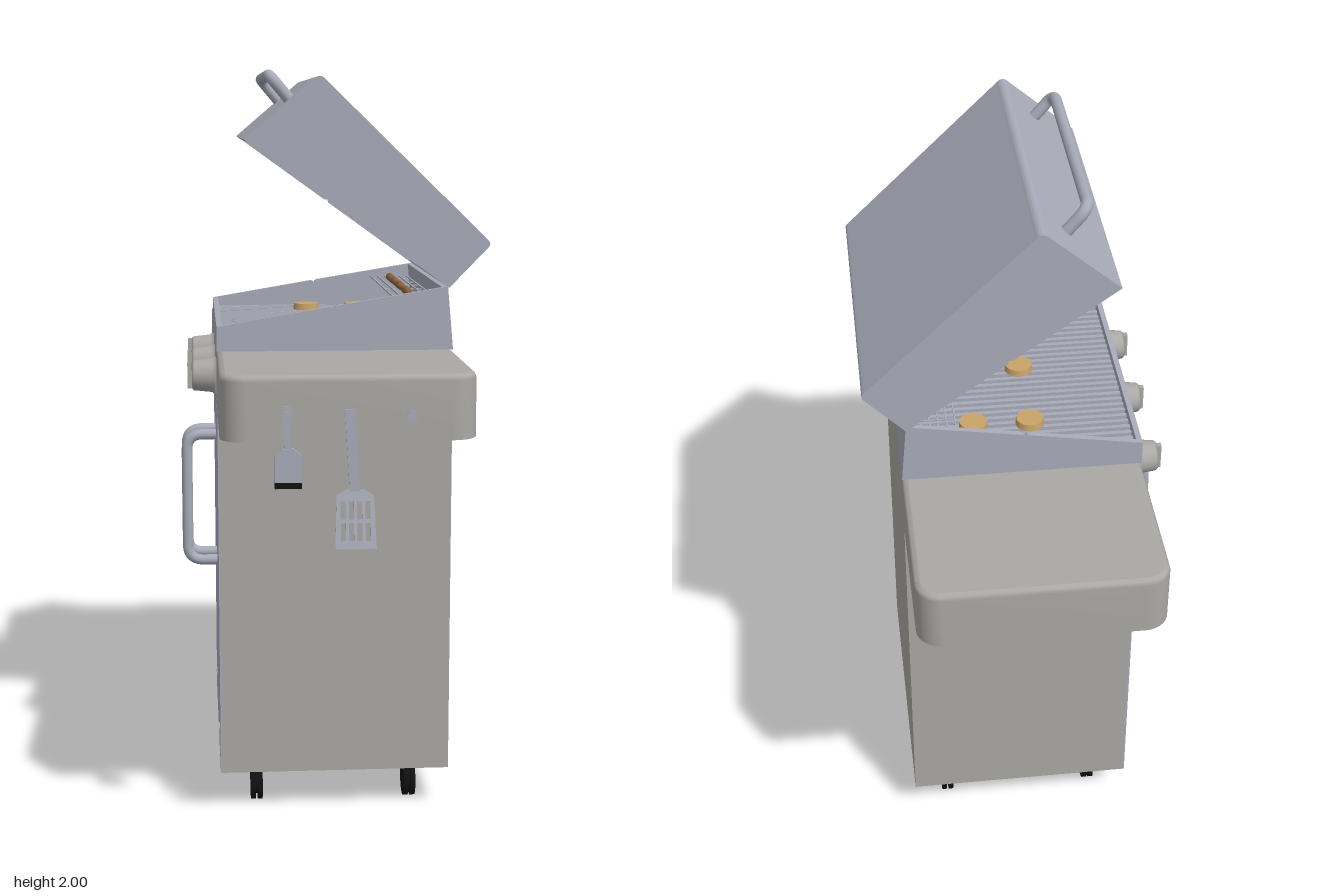
import * as THREE from 'three';

const mat = (color) => new THREE.MeshStandardMaterial({ color, side: THREE.DoubleSide });
const BODY = mat(0xaaa8a4), STEEL = mat(0xa8abb8), BLACK = mat(0x111111);
const MEAT = mat(0xc8a468), BROWN = mat(0x8a6038);
const MID_Z = -0.02, Z0 = -0.42, Z1 = 0.375, X0 = -0.31, X1 = 0.315;

function add(parent, name, geometry, material, x = 0, y = 0, z = 0) {
  const m = new THREE.Mesh(geometry, material);
  m.name = name;
  m.position.set(x, y, z);
  parent.add(m);
  return m;
}

// Box given by its minimum and maximum corners
function block(parent, name, material, a, b) {
  const s = a.map((v, i) => b[i] - v), c = a.map((v, i) => (v + b[i]) / 2);
  return add(parent, name, new THREE.BoxGeometry(...s), material, ...c);
}

// Outline in x and y, extruded from z0 to z1
function panel(parent, name, material, shape, z0, z1) {
  const s = Array.isArray(shape) ? new THREE.Shape(shape.map((p) => new THREE.Vector2(...p))) : shape;
  const g = new THREE.ExtrudeGeometry(s, { depth: z1 - z0, bevelEnabled: false, curveSegments: 6 });
  return add(parent, name, g, material, 0, 0, z0);
}

// Bar with two rounded bends, standing off its mounting points by "off"
function handle(parent, name, a, b, off, r, bend) {
  const A = new THREE.Vector3(...a), B = new THREE.Vector3(...b), O = new THREE.Vector3(...off);
  const A2 = A.clone().add(O), B2 = B.clone().add(O);
  const d = B.clone().sub(A).setLength(bend), o = O.clone().setLength(bend);
  const a1 = A2.clone().sub(o), a3 = A2.clone().add(d), b1 = B2.clone().sub(d), b3 = B2.clone().sub(o);
  const path = new THREE.CurvePath();
  path.add(new THREE.LineCurve3(A, a1));
  path.add(new THREE.QuadraticBezierCurve3(a1, A2, a3));
  path.add(new THREE.LineCurve3(a3, b1));
  path.add(new THREE.QuadraticBezierCurve3(b1, B2, b3));
  path.add(new THREE.LineCurve3(b3, B));
  add(parent, name, new THREE.TubeGeometry(path, 80, r, 12), STEEL);
}

// Rounded rectangle of the table top, shrunk by an inset
function tableOutline(inset) {
  const w = 0.3125 - inset, l = 0.86 - inset, r = 0.065 - inset;
  const s = new THREE.Shape();
  s.absarc(w - r, l - r, r, 0, Math.PI / 2);
  s.absarc(-w + r, l - r, r, Math.PI / 2, Math.PI);
  s.absarc(-w + r, -l + r, r, Math.PI, Math.PI * 1.5);
  s.absarc(w - r, -l + r, r, Math.PI * 1.5, Math.PI * 2);
  s.closePath();
  return s;
}

// Table shell: inner wall, rim, outer wall and softened upper edge
function tableTop(parent) {
  const sections = [[0.015, 1.255], [0.015, 1.11], [0, 1.11], [0, 1.11], [0, 1.255], [0.004, 1.266], [0.015, 1.27]];
  const rings = sections.map(([inset]) => tableOutline(inset).getPoints(10));
  const n = rings[0].length, pos = [], idx = [];
  rings.forEach((ring, k) => ring.forEach((p) => pos.push(p.x, sections[k][1], -p.y)));
  for (let k = 0; k < rings.length - 1; k++) {
    for (let i = 0; i < n - 1; i++) {
      const a = k * n + i, b = a + n;
      idx.push(a, a + 1, b, a + 1, b + 1, b);
    }
  }
  const g = new THREE.BufferGeometry();
  g.setAttribute('position', new THREE.Float32BufferAttribute(pos, 3));
  g.setIndex(idx);
  g.computeVertexNormals();
  add(parent, 'tableShell', g, BODY, 0.0025, 0, MID_Z);
  for (const y of [1.255, 1.27]) {
    const cap = new THREE.ShapeGeometry(tableOutline(0.015), 10).rotateX(-Math.PI / 2);
    add(parent, 'tableSurface', cap, BODY, 0.0025, y, MID_Z);
  }
}

function firebox(parent) {
  const side = [[X0, 1.27], [X1, 1.27], [0.3, 1.437], [0.003, 1.388], [-0.003, 1.38], [-0.01, 1.386], [X0, 1.335]];
  panel(parent, 'fireboxSide', STEEL, side, Z0, Z0 + 0.015);
  panel(parent, 'fireboxSide', STEEL, side, Z1 - 0.015, Z1);
  panel(parent, 'fireboxFront', STEEL, [[X0, 1.27], [X0 + 0.015, 1.27], [X0 + 0.015, 1.337], [X0, 1.335]], Z0 + 0.015, Z1 - 0.015);
  panel(parent, 'fireboxBack', STEEL, [[0.3, 1.27], [X1, 1.27], [0.3, 1.437], [0.285, 1.435]], Z0 + 0.015, Z1 - 0.015);
  // Cooking grate
  for (let i = 0; i < 30; i++) {
    const z = Z0 + 0.032 + i * 0.0252;
    block(parent, 'grateBar', STEEL, [X0 + 0.015, 1.303, z - 0.006], [0.295, 1.313, z + 0.006]);
  }
  for (const x of [-0.285, 0, 0.28]) block(parent, 'grateCrossBar', STEEL, [x - 0.005, 1.295, Z0 + 0.015], [x + 0.005, 1.304, Z1 - 0.015]);
  // Warming rack
  for (let i = 0; i < 6; i++) {
    const x = 0.17 + i * 0.022;
    block(parent, 'rackBar', STEEL, [x - 0.002, 1.396, Z0 + 0.01], [x + 0.002, 1.4, Z1 - 0.01]);
  }
  for (let i = 0; i < 7; i++) {
    const z = Z0 + 0.08 + i * 0.106;
    block(parent, 'rackCrossBar', STEEL, [0.17, 1.392, z - 0.002], [0.285, 1.396, z + 0.002]);
  }
  // Food
  for (const x of [-0.035, 0.115]) for (const z of [-0.27, -0.02, 0.18]) {
    add(parent, 'patty', new THREE.CylinderGeometry(0.036, 0.038, 0.018, 24), MEAT, x, 1.322, z);
  }
  for (const z of [-0.2, -0.09, 0.04, 0.2]) {
    add(parent, 'sausage', new THREE.CapsuleGeometry(0.011, 0.06, 4, 10), BROWN, 0.21, 1.411, z).rotation.x = Math.PI / 2;
  }
}

function lid(parent) {
  const z0 = -0.435, z1 = 0.395;
  const outer = (s) => {
    s.moveTo(-0.235, 1.82);
    s.lineTo(-0.055, 1.973);
    s.quadraticCurveTo(-0.038, 1.99, -0.022, 1.97);
    s.lineTo(0.4, 1.562);
    s.quadraticCurveTo(0.413, 1.55, 0.402, 1.54);
    s.lineTo(0.3, 1.435);
    return s;
  };
  const shell = outer(new THREE.Shape());
  for (const p of [[0.292, 1.444], [0.391, 1.551], [-0.04, 1.967], [-0.226, 1.813]]) shell.lineTo(...p);
  panel(parent, 'lidShell', STEEL, shell, z0 + 0.012, z1 - 0.012);
  const side = outer(new THREE.Shape());
  for (const p of [[0.043, 1.62], [0.04, 1.63], [0.03, 1.63]]) side.lineTo(...p);
  panel(parent, 'lidSide', STEEL, side, z0, z0 + 0.012);
  panel(parent, 'lidSide', STEEL, side, z1 - 0.012, z1);
  handle(parent, 'lidHandle', [-0.108, 1.918, -0.325], [-0.108, 1.918, 0.28], [-0.057, 0.067, 0], 0.0155, 0.035);
}

function knob(parent, z) {
  const g = new THREE.Group();
  g.name = 'knob';
  g.position.set(X0, 1.19, z);
  parent.add(g);
  const profile = [[0, 0], [0.05, 0], [0.05, 0.008], [0.046, 0.012], [0.041, 0.06], [0.036, 0.066], [0, 0.066]];
  const body = new THREE.LatheGeometry(profile.map((p) => new THREE.Vector2(...p)), 28).rotateZ(Math.PI / 2);
  add(g, 'knobBody', body, BODY);
  block(g, 'knobGrip', BODY, [-0.078, -0.035, -0.008], [-0.06, 0.035, 0.008]);
}

function caster(parent, x, z) {
  for (const s of [-1, 1]) {
    const w = new THREE.CylinderGeometry(0.05, 0.05, 0.013, 28).rotateZ(Math.PI / 2);
    add(parent, 'casterWheel', w, BLACK, x + s * 0.0095, 0.05, z);
  }
  add(parent, 'casterAxle', new THREE.CylinderGeometry(0.035, 0.035, 0.012, 20).rotateZ(Math.PI / 2), BLACK, x, 0.05, z);
  add(parent, 'casterStem', new THREE.CylinderGeometry(0.008, 0.008, 0.06, 12), BLACK, x, 0.085, z);
}

function utensils(parent) {
  for (const x of [-0.15, 0, 0.15]) {
    add(parent, 'hookPin', new THREE.CylinderGeometry(0.006, 0.006, 0.022, 12).rotateX(Math.PI / 2), STEEL, x, 1.175, 0.849);
    add(parent, 'hookEnd', new THREE.CylinderGeometry(0.013, 0.013, 0.004, 16).rotateX(Math.PI / 2), STEEL, x, 1.175, 0.861);
  }
  // Brush
  block(parent, 'brushHandle', STEEL, [-0.157, 1.07, 0.849], [-0.14, 1.2, 0.855]);
  panel(parent, 'brushHead', STEEL, [[-0.18, 1.015], [-0.115, 1.015], [-0.115, 1.08], [-0.135, 1.097], [-0.16, 1.097], [-0.18, 1.08]], 0.845, 0.86);
  block(parent, 'brushBristles', BLACK, [-0.18, 1, 0.846], [-0.115, 1.016, 0.859]);
  // Slotted spatula, its blade tilted outwards
  panel(parent, 'spatulaHandle', STEEL, [[0, 0.99], [0.025, 0.99], [0.012, 1.19], [-0.012, 1.19]], 0.853, 0.858);
  const blade = new THREE.Shape([[-0.05, -0.145], [0.05, -0.145], [0.045, -0.015], [0.02, 0], [-0.02, 0], [-0.045, -0.015]].map((p) => new THREE.Vector2(...p)));
  for (let i = 0; i < 4; i++) for (const y of [-0.125, -0.073]) {
    const x = -0.036 + i * 0.02;
    blade.holes.push(new THREE.Path([[x, y], [x, y + 0.043], [x + 0.012, y + 0.043], [x + 0.012, y]].map((p) => new THREE.Vector2(...p))));
  }
  const b = panel(parent, 'spatulaBlade', STEEL, blade, 0, 0.003);
  b.position.set(0.013, 0.997, 0.854);
  b.rotation.x = -0.2;
}

export function createModel() {
  const root = new THREE.Group();
  root.name = 'grill';
  const part = (name, build) => {
    const g = new THREE.Group();
    g.name = name;
    root.add(g);
    build(g);
  };
  // Cabinet with its double doors on the -x side
  part('cabinet', (g) => {
    block(g, 'cabinetBody', BODY, [X0 + 0.004, 0.11, Z0], [X1, 1.11, Z1]);
    block(g, 'cabinetNeck', BODY, [X0 + 0.016, 1.11, Z0], [X1 - 0.016, 1.25, Z1]);
    for (const [z0, z1] of [[Z0, MID_Z - 0.0015], [MID_Z + 0.0015, Z1]]) {
      block(g, 'door', STEEL, [X0, 0.11, z0], [X0 + 0.005, 1.108, z1]);
    }
    for (const z of [-0.285, 0.245]) block(g, 'doorSlot', BODY, [X0 - 0.002, 0.193, z - 0.04], [X0, 0.197, z + 0.04]);
    for (const s of [-1, 1]) {
      const z = MID_Z + s * 0.05;
      handle(g, 'doorHandle', [X0, 0.625, z], [X0, 0.99, z], [-0.083, 0, 0], 0.015, 0.045);
    }
  });
  part('table', tableTop);
  part('firebox', firebox);
  part('lid', lid);
  part('knobs', (g) => [-0.29, MID_Z, 0.245].forEach((z) => knob(g, z)));
  part('casters', (g) => {
    for (const x of [-0.21, 0.215]) for (const z of [-0.317, 0.279]) caster(g, x, z);
  });
  part('utensils', utensils);
  return root;
}
